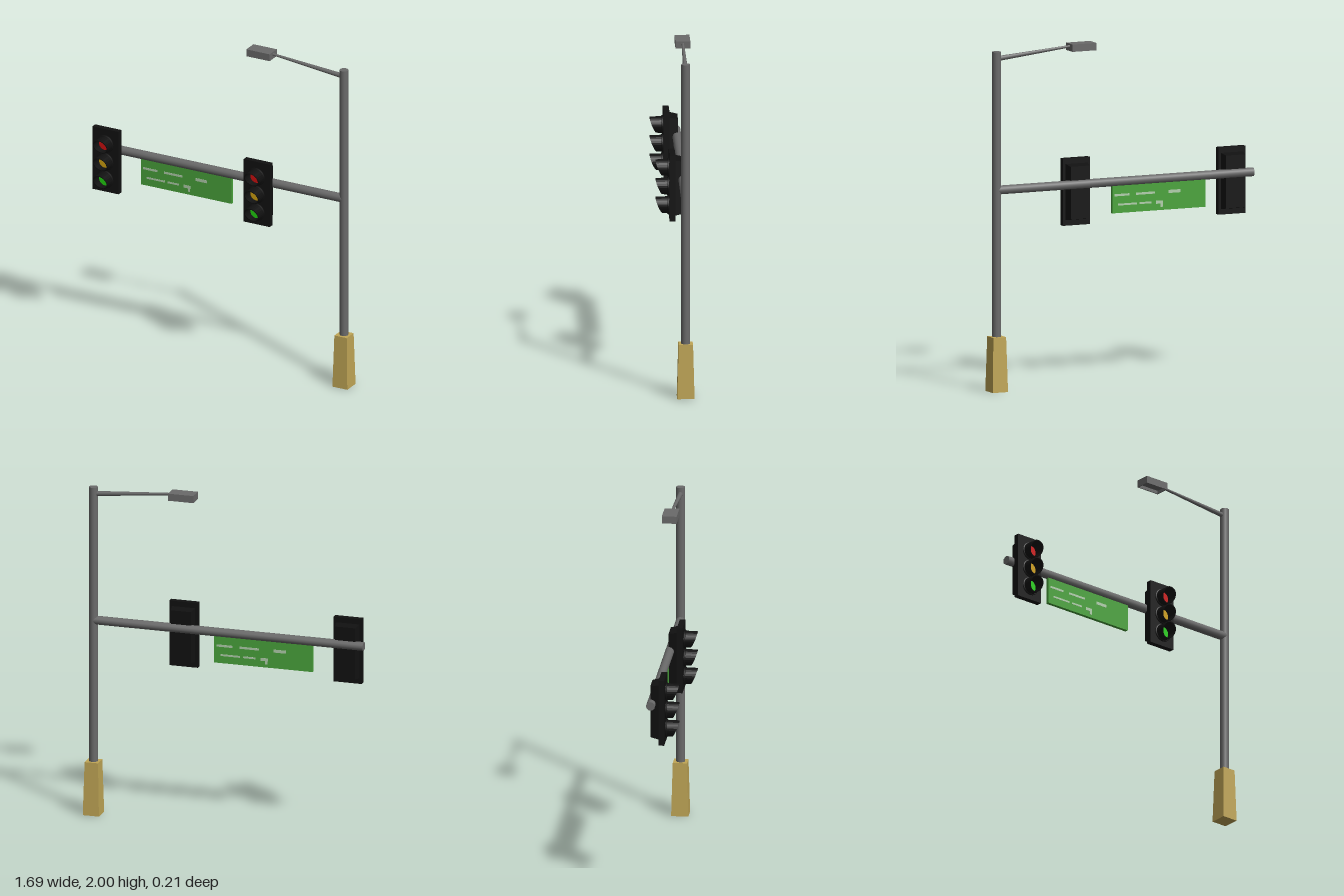
import * as THREE from 'three';

const mat = (name, color, side = THREE.FrontSide) => {
  const m = new THREE.MeshStandardMaterial({ color, side });
  m.name = name;
  return m;
};

export function createModel() {
  const model = new THREE.Group();
  model.name = 'trafficSignalPole';
  const steel = mat('steel', 0x6a6a6a);
  const tan = mat('tan', 0xc0a656);
  const black = mat('black', 0x111111, THREE.DoubleSide);
  const signGreen = mat('signGreen', 0x4aa43c);
  const paleGreen = mat('paleGreen', 0xb2cfac);
  const lampColours = [mat('red', 0xd01010), mat('amber', 0xd0a010), mat('green', 0x22d010)];

  const Z = -0.055, POLE_X = 0.793;

  const add = (parent, name, geo, material, x = 0, y = 0, z = 0) => {
    const mesh = new THREE.Mesh(geo, material);
    mesh.name = name;
    mesh.position.set(x, y, z);
    parent.add(mesh);
    return mesh;
  };
  const box = (w, h, d) => new THREE.BoxGeometry(w, h, d);

  // Box whose +y end is scaled by (sx, sz)
  const taperedBox = (w, h, d, sx, sz) => {
    const g = box(w, h, d), p = g.attributes.position;
    for (let i = 0; i < p.count; i++) {
      if (p.getY(i) > 0) p.setXYZ(i, p.getX(i) * sx, p.getY(i), p.getZ(i) * sz);
    }
    g.computeVertexNormals();
    return g;
  };

  // Tapered rod between two points
  const rod = (name, a, b, ra, rb, sides) => {
    const dir = b.clone().sub(a);
    const mesh = add(model, name, new THREE.CylinderGeometry(rb, ra, dir.length(), sides), steel);
    mesh.position.copy(a).add(b).multiplyScalar(0.5);
    mesh.quaternion.setFromUnitVectors(new THREE.Vector3(0, 1, 0), dir.normalize());
  };
  const v = (x, y) => new THREE.Vector3(x, y, Z);

  // Pole, base and arms
  add(model, 'base', taperedBox(0.098, 0.32, 0.1, 0.83, 0.83), tan, POLE_X, 0.16, Z);
  rod('pole', v(POLE_X, 0.3), v(POLE_X, 1.983), 0.026, 0.026, 12);
  rod('signalArm', v(POLE_X, 1.175), v(-0.845, 1.175), 0.026, 0.026, 12);
  rod('lampArm', v(POLE_X, 1.942), v(0.32, 1.985), 0.015, 0.007, 10);

  // Street lamp: a housing with a shallow recess underneath
  const lamp = new THREE.Group();
  lamp.name = 'streetLamp';
  lamp.position.set(0.251, 1.957, Z);
  model.add(lamp);
  add(lamp, 'lampTop', box(0.153, 0.024, 0.086), steel, 0, 0.031);
  for (const s of [-1, 1]) {
    add(lamp, 'lampEnd', box(0.006, 0.019, 0.086), steel, s * 0.0735, 0.0095);
    add(lamp, 'lampSide', box(0.141, 0.019, 0.006), steel, 0, 0.0095, s * 0.04);
  }

  // Street sign with pale painted bars on both faces
  const sign = new THREE.Group();
  sign.name = 'sign';
  sign.position.set(-0.239, 1.073, Z);
  model.add(sign);
  add(sign, 'signBoard', box(0.595, 0.162, 0.02), signGreen);
  const bars = [
    [-0.235, 0.024, 0.095, 0.013], [-0.085, 0.024, 0.12, 0.013], [0.1, 0.024, 0.075, 0.018],
    [-0.2, -0.032, 0.12, 0.011], [-0.085, -0.032, 0.075, 0.011],
    [0.005, -0.034, 0.045, 0.018], [0.019, -0.05, 0.015, 0.025],
  ];
  for (const turn of [0, Math.PI]) {
    const face = new THREE.Group();
    face.name = turn ? 'backMarkings' : 'frontMarkings';
    face.rotation.y = turn;
    sign.add(face);
    for (const [x, y, w, h] of bars) add(face, 'marking', box(w, h, 0.002), paleGreen, x, y, 0.0105);
  }

  // Visor: a hood with its mouth cut back towards the bottom
  const visorGeometry = () => {
    const R = 0.049, L = 0.08;
    const pts = [[R, 0], [R - 0.002, L], [R - 0.007, L], [R - 0.006, 0]];
    const g = new THREE.LatheGeometry(pts.map(([x, y]) => new THREE.Vector2(x, y)), 24);
    g.rotateX(Math.PI / 2);
    const p = g.attributes.position;
    for (let i = 0; i < p.count; i++) {
      if (p.getZ(i) > L / 2) p.setZ(i, L - 0.04 * Math.pow((R - p.getY(i)) / (2 * R), 1.4));
    }
    const flat = g.toNonIndexed();
    flat.computeVertexNormals();
    return flat;
  };
  const visor = visorGeometry();
  const ring = new THREE.TorusGeometry(0.049, 0.006, 6, 24);
  const lens = new THREE.CylinderGeometry(0.038, 0.038, 0.008, 24).rotateX(Math.PI / 2);
  const backBody = taperedBox(0.142, 0.05, 0.328, 0.86, 0.94).rotateX(-Math.PI / 2);

  // Signal heads
  for (const x of [-0.733, 0.261]) {
    const head = new THREE.Group();
    head.name = 'signalHead';
    head.position.set(x, 1.127, 0);
    model.add(head);
    add(head, 'backplate', box(0.172, 0.392, 0.034), black, 0, 0, 0.005);
    add(head, 'housing', backBody, black, 0, 0, -0.036);
    lampColours.forEach((colour, i) => {
      const y = 0.106 - i * 0.111;
      add(head, 'visor', visor, black, 0, y, 0.022);
      add(head, 'lensRing', ring, black, 0, y, 0.028);
      add(head, 'lens', lens, colour, 0, y, 0.026);
    });
  }

  return model;
}
